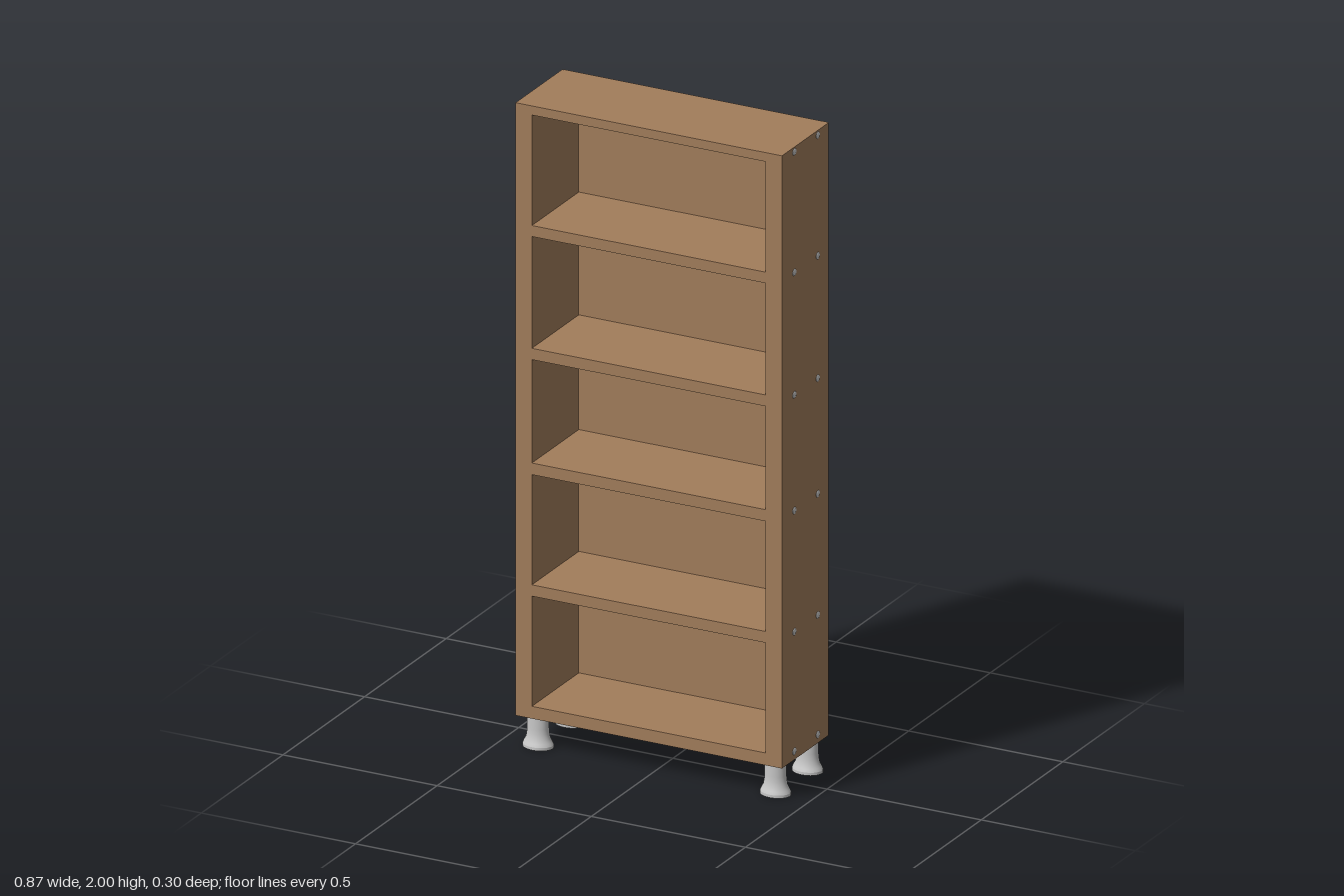
import * as THREE from 'three';

export function createModel() {
  const wood = new THREE.MeshStandardMaterial({ color: 0xa27d5b });
  wood.name = 'wood';
  const metal = new THREE.MeshStandardMaterial({ color: 0xc8c8c8 });
  metal.name = 'metal';

  const model = new THREE.Group();
  model.name = 'bookcase';

  const W = 0.432, INNER = 0.379;      // half widths outside and inside
  const FRONT = 0.148, BACK = -0.140;  // carcass depth
  const BASE = 0.104, TOP = 2;

  // Box from its minimum and maximum corners
  function board(name, x0, x1, y0, y1, z0, z1) {
    const mesh = new THREE.Mesh(new THREE.BoxGeometry(x1 - x0, y1 - y0, z1 - z0), wood);
    mesh.position.set((x0 + x1) / 2, (y0 + y1) / 2, (z0 + z1) / 2);
    mesh.name = name;
    model.add(mesh);
  }

  // Side walls, stopping just short of the back panel
  board('leftSide', INNER, W, BASE, TOP, BACK + 0.003, FRONT);
  board('rightSide', -W, -INNER, BASE, TOP, BACK + 0.003, FRONT);

  // Bottom, four shelves and top, as [lower, upper] heights
  const levels = [
    [BASE, 0.142], [0.483, 0.518], [0.859, 0.895],
    [1.215, 1.25], [1.596, 1.63], [1.972, TOP],
  ];
  levels.forEach(([y0, y1], i) => {
    const name = i === 0 ? 'bottomBoard' : i === 5 ? 'topBoard' : 'shelf' + i;
    board(name, -INNER, INNER, y0, y1, BACK, FRONT);
    // Spacers that bridge the gap between side walls and back panel
    for (const s of [-1, 1]) {
      const a = s * INNER, b = s * (W - 0.004);
      board('backSpacer', Math.min(a, b), Math.max(a, b), y0, y1, BACK, BACK + 0.003);
    }
  });

  // Back panel
  board('backPanel', -0.425, 0.425, BASE + 0.004, TOP - 0.004, -0.148, BACK);

  // Domed screw heads at every board end
  const dome = new THREE.SphereGeometry(0.011, 16, 6, 0, Math.PI * 2, 0, Math.PI / 2);
  dome.scale(1, 0.3, 1);
  for (const y of [0.13, 0.5, 0.875, 1.233, 1.612, 1.985])
    for (const s of [-1, 1])
      for (const z of [-0.072, 0.072]) {
        const screw = new THREE.Mesh(dome, metal);
        screw.name = 'screwHead';
        screw.position.set(s * W, y, z);
        screw.rotation.z = -s * Math.PI / 2;
        model.add(screw);
      }

  // Turned feet: straight neck flaring to a flat, slightly oval base
  const flare = new THREE.LatheGeometry([
    [0.047, 0.009], [0.043, 0.018], [0.037, 0.029], [0.034, 0.045], [0.033, 0.06], [0.033, BASE],
  ].map(p => new THREE.Vector2(...p)), 32);
  const disc = new THREE.CylinderGeometry(0.047, 0.047, 0.009, 32);
  for (const x of [-0.385, 0.385])
    for (const z of [-0.098, 0.098]) {
      const foot = new THREE.Group();
      foot.name = 'foot';
      const neck = new THREE.Mesh(flare, metal);
      neck.name = 'footNeck';
      const pad = new THREE.Mesh(disc, metal);
      pad.name = 'footPad';
      pad.position.y = 0.0045;
      foot.add(neck, pad);
      foot.position.set(x, 0, z);
      foot.scale.z = 0.78;
      model.add(foot);
    }

  return model;
}
